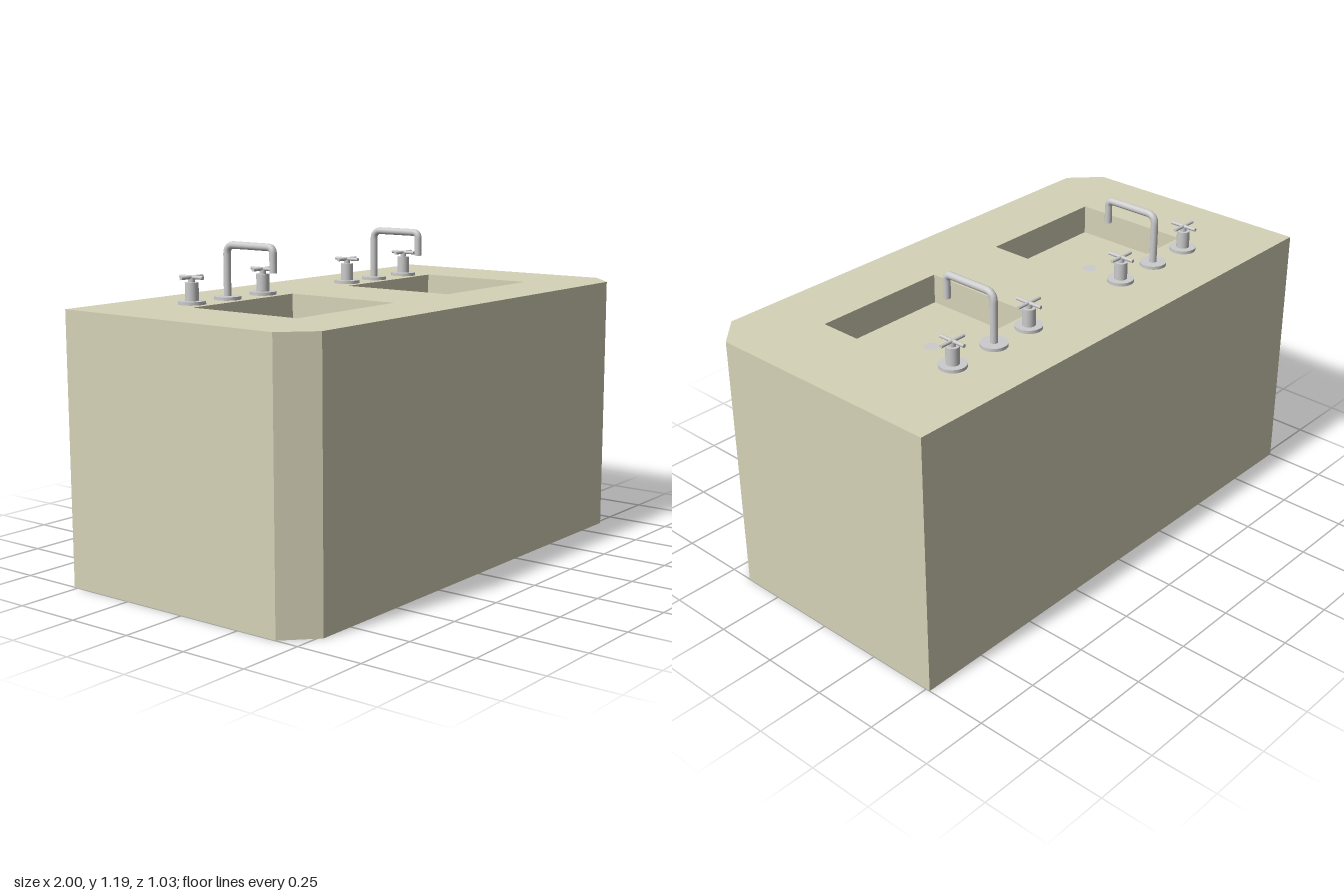
import * as THREE from 'three';

const TOP = 0.98, FLOOR = 0.868, TAP_Z = -0.275;
const stone = new THREE.MeshStandardMaterial({ color: 0xd6d2b8 });
const metal = new THREE.MeshStandardMaterial({ color: 0xcccccc });

function add(parent, name, geometry, material, x = 0, y = 0, z = 0) {
  const mesh = new THREE.Mesh(geometry, material);
  mesh.name = name;
  mesh.position.set(x, y, z);
  parent.add(mesh);
  return mesh;
}

// Points are [x, z], counter-clockwise seen from above
const toPath = (pts) => pts.map(([x, z]) => new THREE.Vector2(x, -z));

function flat(pts, holes = []) {
  const shape = new THREE.Shape(toPath(pts));
  shape.holes = holes.map((h) => new THREE.Path(toPath(h)));
  return new THREE.ShapeGeometry(shape).rotateX(-Math.PI / 2);
}

// Upright walls along a closed outline
function walls(pts, y0, y1) {
  const pos = [];
  pts.forEach(([ax, az], i) => {
    const [bx, bz] = pts[(i + 1) % pts.length];
    pos.push(ax, y0, az, bx, y0, bz, bx, y1, bz, ax, y0, az, bx, y1, bz, ax, y1, az);
  });
  const g = new THREE.BufferGeometry();
  g.setAttribute('position', new THREE.Float32BufferAttribute(pos, 3));
  g.computeVertexNormals();
  return g;
}

const disc = (r) => new THREE.CircleGeometry(r, 32).rotateX(-Math.PI / 2);

// Cylinder standing on its base
const post = (r, h) => new THREE.CylinderGeometry(r, r, h, 32).translate(0, h / 2, 0);

function makeHandle(x) {
  const g = new THREE.Group();
  g.name = 'tapHandle';
  g.position.set(x, TOP, TAP_Z);
  add(g, 'flange', post(0.049, 0.012), metal);
  add(g, 'stem', post(0.024, 0.076), metal);
  add(g, 'neck', post(0.012, 0.092), metal);
  const bar = () => new THREE.CylinderGeometry(0.0065, 0.0065, 0.108, 16);
  add(g, 'crossBar', bar().rotateZ(Math.PI / 2), metal, 0, 0.094);
  add(g, 'crossBar', bar().rotateX(Math.PI / 2), metal, 0, 0.094);
  return g;
}

function makeSpout(x) {
  const g = new THREE.Group();
  g.name = 'spout';
  g.position.set(x, TOP, TAP_Z);
  add(g, 'flange', post(0.049, 0.012), metal);
  const v = (y, z) => new THREE.Vector3(0, y, z);
  const top = 0.195, reach = 0.216, tip = 0.106, r1 = 0.035, r2 = 0.022;
  const path = new THREE.CurvePath();
  path.add(new THREE.LineCurve3(v(0, 0), v(top - r1, 0)));
  path.add(new THREE.QuadraticBezierCurve3(v(top - r1, 0), v(top, 0), v(top, r1)));
  path.add(new THREE.LineCurve3(v(top, r1), v(top, reach - r2)));
  path.add(new THREE.QuadraticBezierCurve3(v(top, reach - r2), v(top, reach), v(top - r2, reach)));
  path.add(new THREE.LineCurve3(v(top - r2, reach), v(tip, reach)));
  add(g, 'pipe', new THREE.TubeGeometry(path, 90, 0.0135, 20), metal);
  add(g, 'pipeEnd', disc(0.0135).rotateX(Math.PI), metal, 0, tip, reach);
  return g;
}

export function createModel() {
  const model = new THREE.Group();
  model.name = 'doubleVanity';

  // Cabinet with chamfered front corners
  const outline = [[-1, 0.41], [-0.89, 0.516], [0.89, 0.516], [1, 0.41], [1, -0.516], [-1, -0.516]];
  const sinks = [
    { x0: -0.705, x1: -0.176, spout: -0.45, handles: [-0.633, -0.259] },
    { x0: 0.156, x1: 0.69, spout: 0.415, handles: [0.24, 0.613] },
  ];
  const rims = sinks.map(({ x0, x1 }) => [[x0, 0.262], [x1, 0.262], [x1, -0.203], [x0, -0.203]]);
  add(model, 'cabinetWalls', walls(outline, 0, TOP), stone);
  add(model, 'countertop', flat(outline, rims), stone, 0, TOP);
  add(model, 'underside', flat(outline).scale(1, 1, 1), metal).geometry = undersideOf(outline);

  // Basins with drains and taps
  sinks.forEach((sink, i) => {
    const basin = new THREE.Group();
    basin.name = 'basin';
    add(basin, 'basinWalls', walls([...rims[i]].reverse(), FLOOR, TOP), stone);
    add(basin, 'basinFloor', flat(rims[i]), stone, 0, FLOOR);
    add(basin, 'drain', disc(0.027), metal, sink.spout, FLOOR + 0.002, 0.025);
    model.add(basin, makeSpout(sink.spout), ...sink.handles.map(makeHandle));
  });
  return model;
}

// Cabinet base, facing down
function undersideOf(pts) {
  return flat(pts.map(([x, z]) => [x, -z])).rotateX(Math.PI);
}
